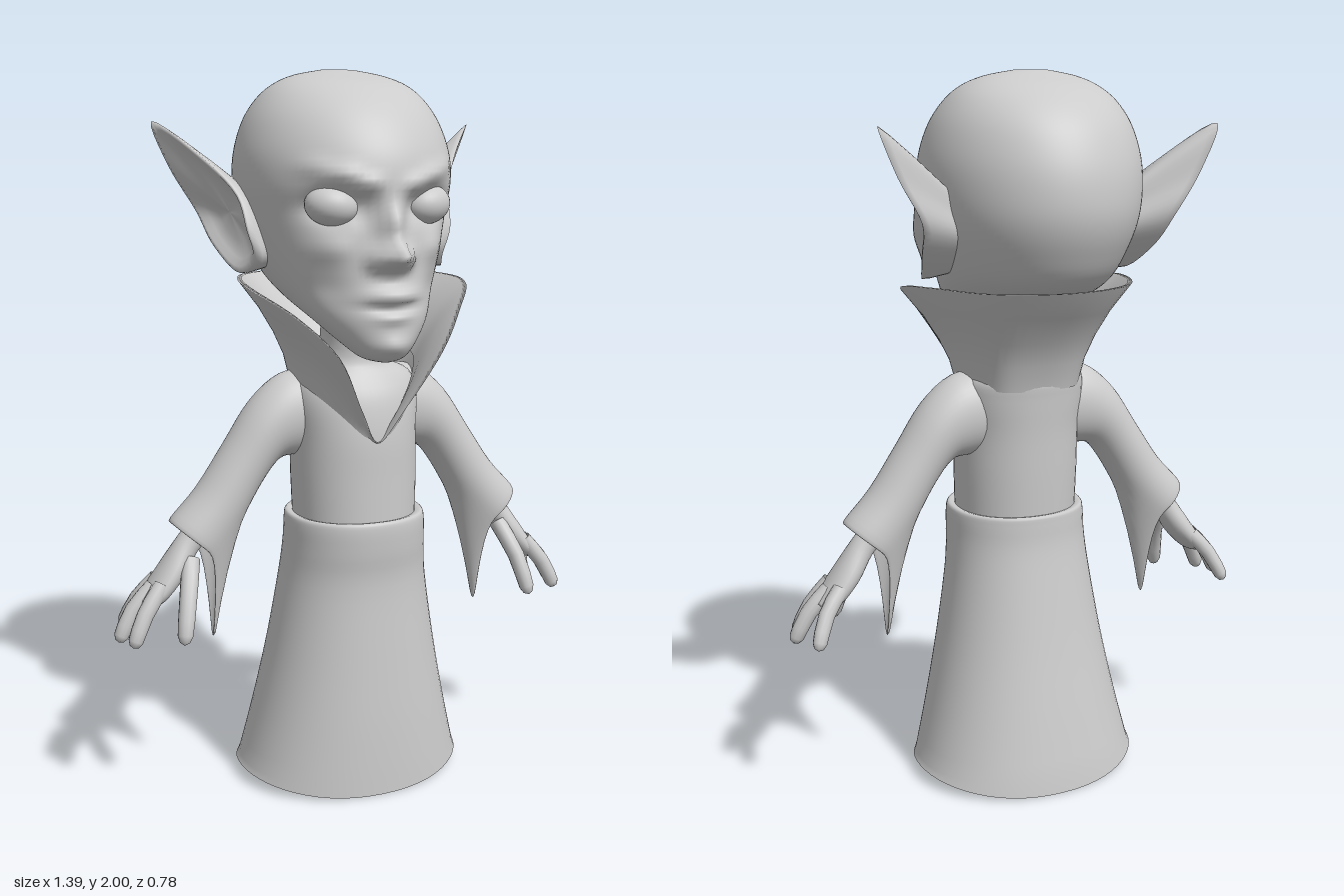
import * as THREE from 'three';

const material = new THREE.MeshStandardMaterial({ color: 0xcccccc, side: THREE.DoubleSide });
const V = (x, y, z) => new THREE.Vector3(x, y, z);

// Skin a list of closed rings that all have the same number of points
function loft(rings) {
  const n = rings[0].length, index = [];
  for (let i = 0; i < rings.length - 1; i++) {
    for (let j = 0; j < n; j++) {
      const k = (j + 1) % n, a = i * n + j, b = i * n + k, c = a + n, d = b + n;
      index.push(a, b, d, a, d, c);
    }
  }
  const g = new THREE.BufferGeometry().setFromPoints(rings.flat());
  g.setIndex(index);
  g.computeVertexNormals();
  return g;
}

// A ring collapsed to its centre, used to close an end
function cap(ring) {
  const c = V(0, 0, 0);
  ring.forEach(p => c.addScaledVector(p, 1 / ring.length));
  return ring.map(() => c.clone());
}

// Spline through rows of numbers
function smooth(keys, steps) {
  const out = [], at = i => keys[Math.min(Math.max(i, 0), keys.length - 1)];
  for (let i = 0; i < keys.length - 1; i++) {
    for (let s = 0; s < steps; s++) {
      const t = s / steps;
      out.push(keys[i].map((p1, k) => {
        const p0 = at(i - 1)[k], p2 = at(i + 1)[k], p3 = at(i + 2)[k];
        return p1 + 0.5 * t * (p2 - p0 + t * (2 * p0 - 5 * p1 + 4 * p2 - p3 + t * (3 * (p1 - p2) + p3 - p0)));
      }));
    }
  }
  out.push(keys[keys.length - 1]);
  return out;
}

// Horizontal oval: half width, front z, back z
function oval([y, rx, zf, zb], n, power = 1) {
  const bend = v => Math.sign(v) * Math.abs(v) ** power;
  return Array.from({ length: n }, (_, j) => {
    const a = j / n * Math.PI * 2;
    return V(Math.max(rx, 0) * bend(Math.sin(a)), y, (zf + zb) / 2 + (zf - zb) / 2 * bend(Math.cos(a)));
  });
}

// Oval spanned by an upper and a lower point, with a half depth in z
function slice([tx, ty, bx, by, rz], n, zc) {
  return Array.from({ length: n }, (_, j) => {
    const a = j / n * Math.PI * 2, c = Math.cos(a) / 2;
    return V((tx + bx) / 2 + (tx - bx) * c, (ty + by) / 2 + (ty - by) * c, zc + rz * Math.sin(a));
  });
}

// Tapered finger with a rounded tip
function finger(points, radius) {
  const curve = new THREE.CatmullRomCurve3(points), rings = [], n = 12;
  for (const [t, s] of [[0, 1], [0.25, 1], [0.5, 0.97], [0.75, 0.93], [0.9, 0.85], [0.97, 0.55]]) {
    const c = curve.getPoint(t), tan = curve.getTangent(t);
    const u = V(0, 0, 1).cross(tan).normalize(), v = tan.clone().cross(u);
    rings.push(Array.from({ length: n }, (_, j) => {
      const a = j / n * Math.PI * 2;
      return c.clone().addScaledVector(u, radius * s * Math.cos(a)).addScaledVector(v, radius * s * Math.sin(a));
    }));
  }
  rings.push(rings[0].map(() => points[points.length - 1].clone()));
  return loft(rings);
}

const sampleLoop = (points, n) => {
  const curve = new THREE.CatmullRomCurve3(points, true);
  return Array.from({ length: n }, (_, i) => curve.getPoint(i / n));
};

export function createModel() {
  const model = new THREE.Group();
  const add = (name, geometry) => {
    const mesh = new THREE.Mesh(geometry, material);
    mesh.name = name;
    model.add(mesh);
  };
  const addPair = (name, geometry) => {
    const other = geometry.clone().scale(-1, 1, 1), ix = other.index.array;
    for (let i = 0; i < ix.length; i += 3) [ix[i], ix[i + 1]] = [ix[i + 1], ix[i]];
    other.computeVertexNormals();
    add(name + 'Left', geometry);
    add(name + 'Right', other);
  };

  // Skirt: open at the bottom, wavy hem, rolled waist
  const skirt = smooth([[0.02, 0.33, 0.26, -0.27], [0.2, 0.285, 0.253, -0.235], [0.4, 0.243, 0.24, -0.195],
    [0.6, 0.21, 0.228, -0.16], [0.7, 0.2, 0.238, -0.145], [0.765, 0.197, 0.242, -0.142],
    [0.79, 0.19, 0.236, -0.138], [0.785, 0.165, 0.21, -0.11]], 4).map(r => oval(r, 56, 0.92));
  skirt[0].forEach((p, j) => { p.y -= 0.018 * Math.cos(j / 56 * Math.PI * 4); });
  add('skirt', loft(skirt));

  // Torso and neck
  add('torso', loft(smooth([[0.76, 0.172, 0.218, -0.12], [0.9, 0.176, 0.215, -0.126], [1.02, 0.177, 0.212, -0.13],
    [1.12, 0.185, 0.195, -0.137], [1.18, 0.17, 0.165, -0.137], [1.22, 0.1, 0.14, -0.09],
    [1.3, 0.085, 0.14, -0.06], [1.42, 0.1, 0.15, -0.06]], 4).map(r => oval(r, 48, 0.93))));

  // Sleeves with a long pointed cuff
  const sleeve = smooth([[0.09, 1.2, 0.09, 0.96, 0.09], [0.2, 1.185, 0.17, 0.955, 0.09], [0.29, 1.115, 0.22, 0.945, 0.086],
    [0.37, 1, 0.27, 0.885, 0.08], [0.45, 0.885, 0.33, 0.785, 0.08], [0.525, 0.805, 0.39, 0.69, 0.082],
    [0.515, 0.8, 0.395, 0.695, 0.073], [0.45, 0.86, 0.36, 0.78, 0.06]], 4).map(r => slice(r, 40, 0.014));
  const hang = [0, 0, 0, 0, 0, 0, 0, 0, 0, 0, 0, 0, 0, 0, 0, 0, 0.05, 0.2, 0.42, 0.7, 1, 1, 0.98, 0.96, 0.94, 0.5, 0.2];
  sleeve.forEach((ring, i) => ring.forEach((p, j) => {
    const w = (hang[i] || 0) * Math.max(0, -Math.cos(j / 40 * Math.PI * 2)) ** 4;
    p.x += 0.018 * w;
    p.y -= 0.23 * w;
    p.z += (0.014 - p.z) * w * 0.4;
  }));
  addPair('sleeve', loft(sleeve));

  // Hands
  const palm = smooth([[0.45, 0.82, 0.4, 0.76, 0.035], [0.505, 0.755, 0.455, 0.705, 0.036], [0.555, 0.685, 0.5, 0.635, 0.056],
    [0.6, 0.62, 0.555, 0.58, 0.062], [0.622, 0.59, 0.59, 0.565, 0.045]], 4).map(r => slice(r, 24, 0.01));
  palm.push(cap(palm[palm.length - 1]));
  addPair('palm', loft(palm));
  addPair('thumb', finger([V(0.48, 0.69, 0.035), V(0.51, 0.6, 0.1), V(0.535, 0.485, 0.14)], 0.025));
  addPair('indexFinger', finger([V(0.565, 0.63, 0.045), V(0.62, 0.56, 0.065), V(0.66, 0.475, 0.08)], 0.024));
  addPair('middleFinger', finger([V(0.58, 0.62, 0.01), V(0.64, 0.56, 0.012), V(0.685, 0.475, 0.018)], 0.024));
  addPair('littleFinger', finger([V(0.56, 0.63, -0.03), V(0.61, 0.57, -0.055), V(0.648, 0.485, -0.09)], 0.023));

  // Collar: flared, high at the back and sides, open in a V at the front
  const fullLoop = half => {
    const right = half.slice(1, -1).reverse().map(([x, y, z]) => [-x, y, z]);
    return sampleLoop([...half, ...right].map(p => V(...p)), 84);
  };
  const base = fullLoop([[0, 1.15, -0.137], [0.11, 1.15, -0.115], [0.165, 1.16, -0.02], [0.17, 1.16, 0.07],
    [0.14, 1.13, 0.14], [0.1, 1.09, 0.18], [0.04, 1.03, 0.207], [0, 1, 0.205]]);
  const rim = fullLoop([[0, 1.44, -0.32], [0.2, 1.44, -0.245], [0.3, 1.44, -0.06], [0.32, 1.425, 0.1],
    [0.24, 1.36, 0.22], [0.15, 1.26, 0.295], [0.06, 1.1, 0.25], [0, 1.01, 0.218]]);
  const between = (txz, ty, inset) => base.map((p, i) => {
    const q = rim[i], k = 1 - inset;
    return V((p.x + (q.x - p.x) * txz) * k, p.y + (q.y - p.y) * ty, 0.03 + (p.z + (q.z - p.z) * txz - 0.03) * k);
  });
  add('collar', loft([base, between(0.12, 0.25, 0), between(0.32, 0.48, 0), between(0.62, 0.74, 0), rim,
    between(1, 1, 0.04), between(0.6, 0.74, 0.06), between(0.3, 0.48, 0.08), between(0.1, 0.25, 0.08)].reverse()));

  // Head: ovals from chin to crown, with the face pressed in and out by soft bumps
  const head = smooth([[1.238, 0.02, 0.27, 0.22], [1.25, 0.06, 0.295, 0.17], [1.285, 0.1, 0.31, 0.1], [1.34, 0.15, 0.315, -0.02],
    [1.4, 0.196, 0.308, -0.19], [1.46, 0.23, 0.298, -0.3], [1.54, 0.26, 0.288, -0.355], [1.62, 0.282, 0.288, -0.385],
    [1.7, 0.294, 0.3, -0.388], [1.78, 0.291, 0.285, -0.372], [1.86, 0.268, 0.24, -0.335], [1.92, 0.232, 0.18, -0.28],
    [1.96, 0.188, 0.11, -0.21], [1.985, 0.13, 0.03, -0.14], [2, 0.05, -0.03, -0.09]], 5).map(r => oval(r, 96));
  head.unshift(cap(head[0]));
  head.push(cap(head[head.length - 1]));
  // Each bump: x, y, x spread, y spread, push
  const bumps = [[0, 1.52, 0.036, 0.036, 0.095], [0, 1.6, 0.03, 0.05, 0.045], [0.045, 1.51, 0.022, 0.024, 0.035],
    [0, 1.415, 0.06, 0.02, 0.032], [0, 1.385, 0.07, 0.01, -0.02], [0, 1.36, 0.05, 0.014, 0.014], [0, 1.285, 0.05, 0.025, 0.015],
    [0.14, 1.645, 0.06, 0.04, -0.05], [0.07, 1.645, 0.025, 0.04, -0.02], [0.15, 1.535, 0.05, 0.035, 0.018],
    [0.15, 1.43, 0.04, 0.04, -0.012], [0.07, 1.7, 0.035, 0.02, 0.02], [0.13, 1.725, 0.04, 0.022, 0.02], [0.19, 1.745, 0.035, 0.022, 0.012]];
  head.forEach(ring => {
    const mid = cap(ring)[0].z;
    ring.forEach(p => {
      if (p.z < mid + 0.02) return;
      let push = 0;
      for (const [x, y, sx, sy, d] of bumps) {
        push += d * Math.exp(-(((Math.abs(p.x) - x) / sx) ** 2) - ((p.y - y) / sy) ** 2);
      }
      p.z += push;
    });
  });
  add('head', loft(head));

  // Eyes, tilted up at the outer corner
  addPair('eye', new THREE.SphereGeometry(1, 28, 18).scale(0.07, 0.052, 0.056)
    .rotateZ(0.15).rotateY(0.35).translate(0.138, 1.645, 0.214));

  // Ears: convex back growing from the head, rim, and hollow inside
  const ear = sampleLoop([V(0.28, 1.5, 0.04), V(0.3, 1.57, 0.045), V(0.315, 1.67, 0), V(0.39, 1.775, -0.1), V(0.488, 1.862, -0.212),
    V(0.44, 1.74, -0.215), V(0.37, 1.62, -0.2), V(0.345, 1.53, -0.13), V(0.305, 1.46, -0.02)], 45);
  const center = cap(ear)[0], root = V(0.2, 1.58, -0.08), hollow = V(0.31, 1.62, -0.085);
  const toward = (target, scale, shift) => ear.map(p => p.clone().sub(center).multiplyScalar(scale)
    .add(center.clone().lerp(target, shift)));
  addPair('ear', loft([toward(root, 0.5, 1), toward(root, 0.78, 0.5), toward(root, 0.95, 0.15), ear,
    toward(hollow, 0.9, 0.05), toward(hollow, 0.75, 0.45), toward(hollow, 0.45, 0.85), toward(hollow, 0, 1)]));

  return model;
}
